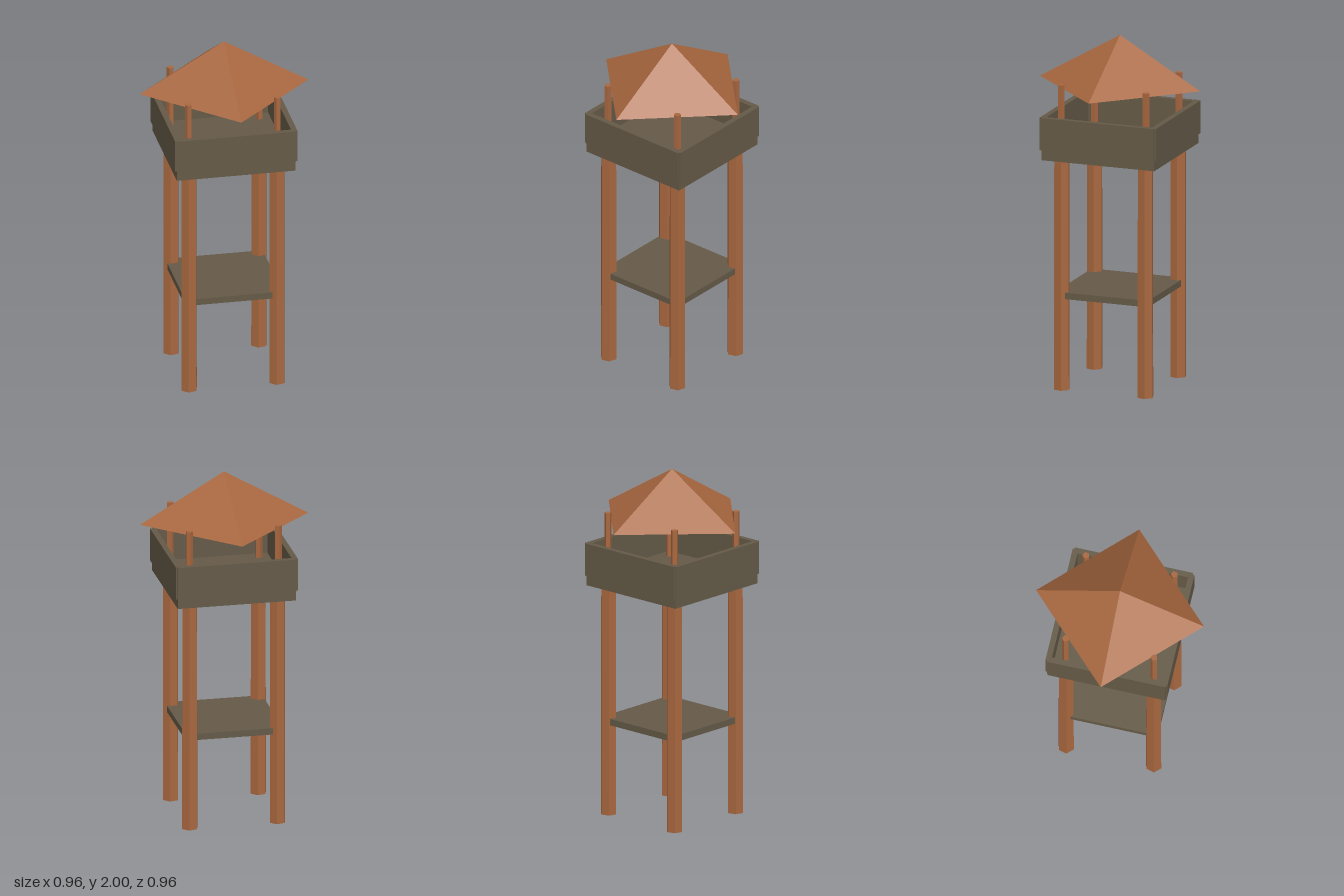
import * as THREE from 'three';

export function createModel() {
  const tower = new THREE.Group();
  tower.name = 'watchtower';

  const wood = new THREE.MeshStandardMaterial({ color: 0xa8673f });
  wood.name = 'warm wood';
  const plank = new THREE.MeshStandardMaterial({ color: 0x655a47 });
  plank.name = 'weathered plank';

  const add = (name, geometry, material, x, y, z) => {
    // Unshared vertices give every face its own flat normal
    const flat = geometry.toNonIndexed();
    flat.computeVertexNormals();
    const mesh = new THREE.Mesh(flat, material);
    mesh.name = name;
    mesh.position.set(x, y, z);
    tower.add(mesh);
    return mesh;
  };
  // Box and post spanning bottom to top
  const slab = (name, w, d, bottom, top, x = 0, z = 0) =>
    add(name, new THREE.BoxGeometry(w, top - bottom, d), plank, x, (bottom + top) / 2, z);
  const post = (name, rTop, rBottom, sides, bottom, top, x, z) => {
    const mesh = add(name, new THREE.CylinderGeometry(rTop, rBottom, top - bottom, sides),
      wood, x, (bottom + top) / 2, z);
    mesh.rotation.y = Math.PI / 4;
  };

  // Legs and the thinner roof posts at each corner
  for (const sx of [-1, 1]) {
    for (const sz of [-1, 1]) {
      post('leg', 0.046, 0.048, 6, 0, 1.34, sx * 0.25, sz * 0.25);
      post('roofPost', 0.0205, 0.0205, 5, 1.38, 1.75, sx * 0.253, sz * 0.253);
    }
  }

  // Lower shelf and lookout floor
  slab('lowerShelf', 0.555, 0.555, 0.525, 0.562);
  slab('lookoutFloor', 0.674, 0.674, 1.328, 1.388);

  // Parapet walls, overhanging the floor and notched at the corners
  for (const s of [-1, 1]) {
    slab('parapetWall', 0.676, 0.032, 1.386, 1.573, 0, s * 0.332);
    slab('parapetWall', 0.032, 0.676, 1.386, 1.573, s * 0.332, 0);
  }

  // Four-sided roof with its corners on the axes
  add('roof', new THREE.ConeGeometry(0.48, 0.28, 4), wood, 0, 1.86, 0);

  return tower;
}
